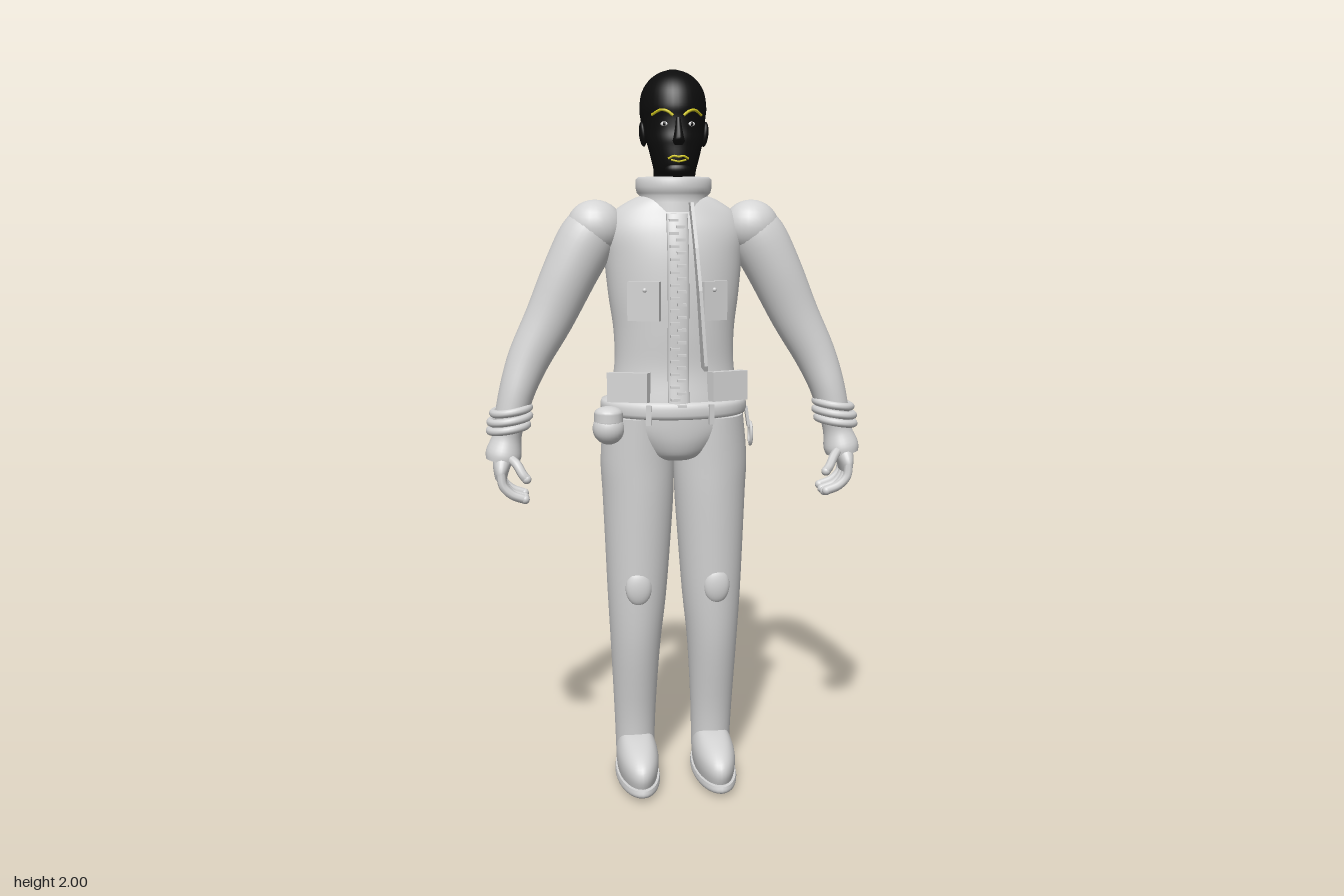
import * as THREE from 'three';

const mat = (name, color) => Object.assign(new THREE.MeshStandardMaterial({ color }), { name });

// Smoothly resample a list of rows (arrays of numbers)
function resample(rows, steps) {
  const out = [], at = i => rows[Math.max(0, Math.min(rows.length - 1, i))];
  for (let i = 0; i < rows.length - 1; i++)
    for (let k = 0; k < steps; k++) {
      const t = k / steps, [a, b, c, d] = [at(i - 1), at(i), at(i + 1), at(i + 2)];
      out.push(b.map((p, j) => p + 0.5 * t * (c[j] - a[j] + t * (2 * a[j] - 5 * p + 4 * c[j] - d[j] + t * (3 * (p - c[j]) + d[j] - a[j])))));
    }
  out.push(rows[rows.length - 1]);
  return out;
}

// Solid through elliptical sections: each row is [x, y, z, radius across, radius in z]
function sweep(rows, steps = 4, seg = 32) {
  const r = resample(rows, steps), pos = [], idx = [];
  const ring = (i, k) => {
    const a = r[Math.max(0, i - 1)], b = r[Math.min(r.length - 1, i + 1)], [x, y, z, rx, rz] = r[i];
    const l = Math.hypot(b[0] - a[0], b[1] - a[1]) || 1, ux = (b[1] - a[1]) / l, uy = (a[0] - b[0]) / l;
    for (let j = 0; j < seg; j++) {
      const t = j / seg * Math.PI * 2, c = Math.cos(t) * rx * k;
      pos.push(x + ux * c, y + uy * c, z + Math.sin(t) * rz * k);
    }
  };
  const n = r.length - 1;
  ring(0, 0); ring(0, 1);
  for (let i = 0; i <= n; i++) ring(i, 1);
  ring(n, 1); ring(n, 0);
  for (let i = 0; i < n + 4; i++) {
    if (i === 1 || i === n + 2) continue; // sharp break between wall and cap
    for (let j = 0; j < seg; j++) {
      const a = i * seg + j, b = i * seg + (j + 1) % seg;
      idx.push(a, a + seg, b, b, a + seg, b + seg);
    }
  }
  const g = new THREE.BufferGeometry();
  g.setAttribute('position', new THREE.Float32BufferAttribute(pos, 3));
  g.setIndex(idx);
  g.computeVertexNormals();
  return g;
}

// Section given as height, half width, front z and back z
const section = ([y, w, f, b], x = 0) => [x, y, (f + b) / 2, w, (f - b) / 2];

// Front surface z of a swept body
function frontZ(rows, x, y) {
  const i = Math.max(1, rows.findIndex(r => r[1] >= y)), a = rows[i - 1], b = rows[i];
  const t = (y - a[1]) / (b[1] - a[1]), m = j => a[j] + (b[j] - a[j]) * t;
  return m(2) + m(4) * Math.sqrt(Math.max(0, 1 - (x / m(3)) ** 2));
}

export function createModel() {
  const root = new THREE.Group();
  const suit = mat('suit grey', 0xd4d4d4), black = mat('head black', 0x0c0c0c);
  const yellow = mat('face yellow', 0xd6cc20), white = mat('eye white', 0xf4f4f4);
  const add = (name, geo, m = suit, p = [0, 0, 0], s = [1, 1, 1], r = [0, 0, 0]) => {
    const o = new THREE.Mesh(geo, m);
    o.name = name; o.position.set(...p); o.scale.set(...s); o.rotation.set(...r);
    root.add(o);
    return o;
  };
  const ball = new THREE.SphereGeometry(1, 24, 16);
  const box = (w, h, d) => new THREE.BoxGeometry(w, h, d);
  const tube = (pts, r, n = 20) => new THREE.TubeGeometry(new THREE.CatmullRomCurve3(pts.map(p => new THREE.Vector3(...p))), n, r, 8);
  const lathe = pts => new THREE.LatheGeometry(pts.map(p => new THREE.Vector2(...p)), 48);

  // Torso and pelvis
  const torso = [[1.06, .195, .115, -.165], [1.11, .187, .112, -.155], [1.2, .167, .1, -.122], [1.3, .167, .103, -.135],
    [1.4, .18, .104, -.153], [1.5, .19, .098, -.158], [1.57, .195, .085, -.143], [1.62, .17, .068, -.115],
    [1.655, .12, .055, -.09], [1.67, .08, .045, -.08]].map(r => section(r));
  const torsoFine = resample(torso, 4);
  add('torso', sweep(torso, 5, 48));
  add('pelvis', sweep([[.95, .07, .07, -.12], [.965, .11, .095, -.15], [1, .15, .11, -.168], [1.04, .186, .116, -.17],
    [1.09, .195, .118, -.168]].map(r => section(r)), 4, 48));

  // Belt and rolled collar
  add('belt', lathe([[.9, 1.07], [.98, 1.073], [1, 1.083], [1, 1.1], [.98, 1.112], [.9, 1.117]]), suit, [0, 0, -.026], [.205, 1, .157]);
  const collar = add('collar', lathe([[.98, 1.625], [.95, 1.65], [.93, 1.668], [1, 1.674], [1.04, 1.69], [1.03, 1.71], [.96, 1.717],
    [.88, 1.712], [.8, 1.69], [.75, 1.66]]), suit, [0, 0, -.02], [.1, 1, .091]);
  collar.material.side = THREE.DoubleSide;

  // Front strip with zip teeth, and the raised storm flap beside it
  const strip = [];
  for (let y = 1.1; y < 1.64; y += .04) strip.push([-.003, y, frontZ(torsoFine, 0, y), .029, .01]);
  add('zipStrip', sweep(strip, 2, 16));
  for (let i = 0; i < 30; i++) {
    const y = 1.11 + i * .017;
    add('zipTooth', box(.024, .007, .028), suit, [i % 2 ? -.014 : .004, y, frontZ(torsoFine, 0, y) + .009]);
  }
  const flap = new THREE.Shape([[-.05, 1.65], [-.095, 1.65], [-.13, 1.53], [-.15, 1.42], [-.156, 1.22], [-.148, 1.205], [-.085, 1.21], [-.08, 1.5]]
    .map(p => new THREE.Vector2(p[0], p[1] - 1.43)));
  add('stormFlap', new THREE.ExtrudeGeometry(flap, { depth: .009, bevelEnabled: false }), suit, [.045, 1.43, 0], [1, 1, 1], [0, Math.PI / 2, .07, 'ZYX']);

  // Chest pockets with studs, and pads above the belt
  for (const s of [-1, 1]) {
    const w = s < 0 ? .088 : .072, x = s * .094, z = frontZ(torsoFine, x, 1.39) + .008;
    add('chestPocket', box(w, .105, .022), suit, [x, 1.39, z], [1, 1, 1], [0, s * .38, 0]);
    add('pocketStud', ball, suit, [x, 1.42, z + .012], [.006, .006, .005]);
    add('beltPad', box(.115, .08, .032), suit, [s * .135, 1.157, .078], [1, 1, 1], [-.05, s * .45, 0]);
    add('beltLoop', box(.014, .055, .012), suit, [s * .085, 1.085, .118], [1, 1, 1], [0, s * .25, 0]);
  }

  // Pouch on the right hip, hook on the left
  add('hipPouch', ball, suit, [-.19, 1.045, .07], [.044, .045, .042]);
  add('pouchLid', new THREE.CapsuleGeometry(.033, .035, 6, 20), suit, [-.19, 1.075, .07], [1.2, .6, 1.2]);
  add('hipHook', new THREE.TorusGeometry(.018, .005, 8, 24), suit, [.225, 1, -.05], [1, 1.6, 1], [0, Math.PI / 2, 0]);
  add('hookStrap', box(.008, .06, .018), suit, [.215, 1.05, -.05], [1, 1, 1], [0, 0, .15]);

  for (const s of [-1, 1]) {
    const mir = rows => rows.map(([x, ...rest]) => [s * x, ...rest]);

    // Legs, knee pads and boots
    add('leg', sweep(mir([[.105, 1.07, -.024, .09, .125], [.104, .95, -.02, .102, .115], [.102, .85, -.016, .1, .108], [.104, .7, -.012, .092, .098],
      [.107, .55, -.012, .083, .091], [.111, .4, -.018, .071, .083], [.112, .2, -.033, .06, .063], [.111, .07, -.04, .056, .06]])));
    add('kneePad', ball, suit, [s * .11, .59, .07], [.037, .052, .02]);
    add('boot', sweep([[.025, .054, .165, -.138], [.06, .059, .176, -.143], [.09, .058, .165, -.14], [.115, .05, .125, -.128],
      [.132, .038, .06, -.108], [.138, .02, 0, -.08]].map(r => section(r, s * .111))));
    add('sole', sweep([[0, .04, .12, -.1], [.01, .058, .172, -.14], [.02, .063, .185, -.15], [.034, .061, .183, -.148]].map(r => section(r, s * .111))));

    // Shoulders, sleeves and wrist rings
    add('shoulder', ball, suit, [s * .215, 1.582, -.02], [.078, .075, .07]);
    add('sleeve', sweep(mir([[.2, 1.61, -.022, .06, .06], [.235, 1.555, -.022, .078, .072], [.285, 1.46, -.021, .075, .07], [.342, 1.34, -.019, .067, .06],
      [.4, 1.23, -.015, .058, .057], [.435, 1.14, -.005, .049, .055], [.455, 1.06, 0, .044, .052]])));
    [[.452, 1.09, .05], [.456, 1.066, .054], [.46, 1.042, .052]].forEach(([x, y, r]) =>
      add('wristRing', new THREE.TorusGeometry(r, .011, 10, 36), suit, [s * x, y, .002], [1, 1.12, 1], [Math.PI / 2, s * -.15, 0]));

    // Gloves
    add('gloveCuff', sweep(mir([[.458, 1.05, .002, .04, .05], [.465, 1.015, .006, .04, .045], [.474, .975, .012, .049, .053], [.478, .953, .015, .046, .05]])));
    add('palm', sweep(mir([[.475, .97, .018, .03, .042], [.482, .935, .028, .023, .052], [.484, .905, .03, .016, .05]])));
    [-.014, .015, .044, .07].forEach((z, i) => {
      const d = [.006, 0, 0, .006][i];
      const path = [[s * .484, .925, z], [s * .478, .892, z + .003], [s * .455, .862 + d, z + .005], [s * .42, .848 + d, z + .005]];
      add('finger', tube(path, .0125), suit);
      add('fingertip', ball, suit, path[3], [.0125, .0125, .0125]);
    });
    const thumb = [[s * .46, .965, .045], [s * .44, .95, .07], [s * .425, .925, .083], [s * .415, .912, .085]];
    add('thumb', tube(thumb, .013), suit);
    add('thumbTip', ball, suit, thumb[3], [.013, .013, .013]);
  }

  // Head and neck
  const head = [[1.67, .055, .05, -.07], [1.715, .056, .058, -.068], [1.735, .057, .078, -.067], [1.76, .063, .084, -.067],
    [1.795, .072, .084, -.071], [1.815, .077, .084, -.095], [1.84, .083, .079, -.132], [1.87, .087, .078, -.147], [1.9, .09, .08, -.151],
    [1.94, .084, .068, -.141], [1.97, .066, .045, -.116], [1.99, .04, .012, -.08], [2, .01, -.025, -.045]].map(r => section(r));
  const headFine = resample(head, 4);
  add('head', sweep(head, 5, 40), black);
  add('nose', sweep([[0, 1.798, .083, .01, .008], [0, 1.808, .085, .016, .014], [0, 1.818, .085, .014, .017], [0, 1.845, .08, .009, .011],
    [0, 1.87, .075, .006, .006]], 3, 16), black);
  add('chin', ball, black, [0, 1.735, .065], [.035, .02, .022]);

  // Painted face features lying on the head surface
  const onFace = (x, y, d = .001) => [x, y, frontZ(headFine, x, y) + d];
  for (const s of [-1, 1]) {
    add('ear', ball, black, [s * .084, 1.83, -.015], [.01, .033, .02], [0, 0, s * -.1]);
    add('eyebrow', tube([[.014, 1.874], [.028, 1.885], [.044, 1.889], [.066, 1.877]].map(([x, y]) => onFace(s * x, y)), .0038), yellow);
    add('eye', ball, white, onFace(s * .037, 1.853), [.01, .006, .004], [0, s * .45, 0]);
    add('pupil', ball, black, onFace(s * .036, 1.853, .003), [.0045, .005, .0035]);
  }
  add('upperLip', tube([[-.027, 1.763], [-.013, 1.77], [0, 1.768], [.013, 1.77], [.027, 1.763]].map(p => onFace(...p)), .003), yellow);
  add('lowerLip', tube([[-.02, 1.76], [0, 1.756], [.02, 1.76]].map(p => onFace(...p)), .0025), yellow);

  return root;
}
